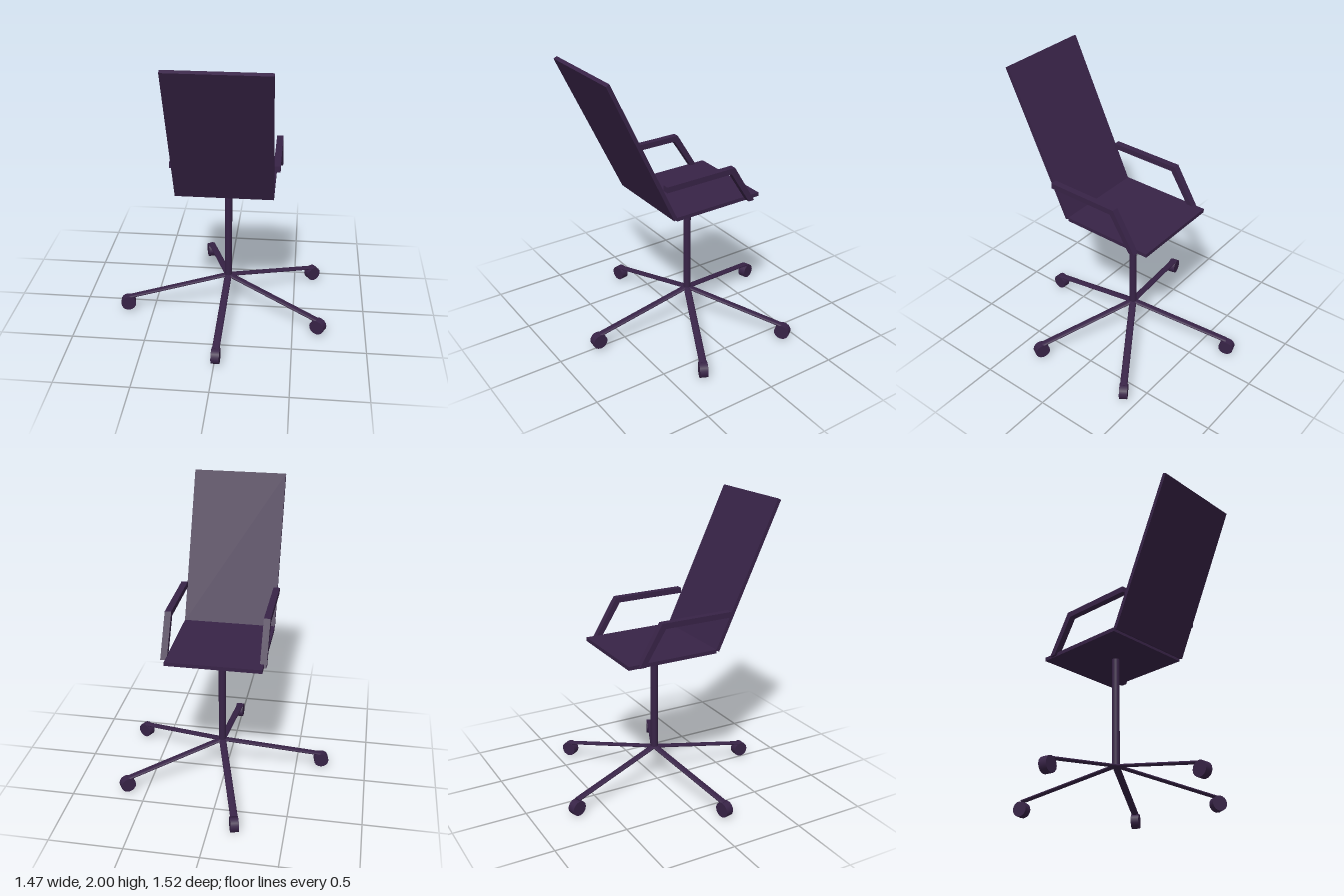
import * as THREE from 'three';

export function createModel() {
  const group = new THREE.Group();
  const material = new THREE.MeshStandardMaterial({ color: 0x382347 });
  const cx = 0.027, cz = -0.01; // column axis

  const add = (name, geometry, parent = group) => {
    const mesh = new THREE.Mesh(geometry, material);
    mesh.name = name;
    parent.add(mesh);
    return mesh;
  };

  // Side outline given as [z, y], extruded across x from x0 to x1
  const sideProfile = (points, x0, x1) => {
    const shape = new THREE.Shape(points.map(([z, y]) => new THREE.Vector2(-z, y)));
    return new THREE.ExtrudeGeometry(shape, { depth: x1 - x0, bevelEnabled: false })
      .rotateY(Math.PI / 2)
      .translate(x0, 0, 0);
  };

  // Seat and reclined backrest
  add('seat', new THREE.BoxGeometry(0.645, 0.026, 0.655)).position.set(cx, 1.018, -0.041);
  add('backrest', sideProfile([[0.285, 1.024], [0.309, 1.013], [0.76, 1.988], [0.737, 2]], -0.295, 0.35));

  // Bent armrests
  const arm = [[0.385, 1.285], [-0.134, 1.285], [-0.3, 1.01], [-0.257, 1.01], [-0.108, 1.246], [0.385, 1.246]];
  add('leftArmrest', sideProfile(arm, 0.345, 0.389));
  add('rightArmrest', sideProfile(arm, -0.313, -0.269));

  // Central column
  add('column', new THREE.CylinderGeometry(0.026, 0.026, 0.765, 16)).position.set(cx, 0.6275, cz);

  // Five sloping flattened legs, each ending in a caster wheel
  const hubY = 0.25, reach = 0.715, drop = 0.142;
  const length = Math.hypot(reach, drop);
  for (const degrees of [-106, -33, 26, 91.3, 168.6]) {
    const spoke = new THREE.Group();
    spoke.name = 'spoke';
    spoke.position.set(cx, 0, cz);
    spoke.rotation.y = -THREE.MathUtils.degToRad(degrees);
    group.add(spoke);

    const legGeometry = new THREE.CylinderGeometry(0.025, 0.025, length, 12)
      .rotateZ(Math.PI / 2)
      .scale(1, 0.4, 1);
    const leg = add('leg', legGeometry, spoke);
    leg.position.set(reach / 2, hubY - drop / 2, 0);
    leg.rotation.z = -Math.atan2(drop, reach);

    const wheelY = degrees === -106 ? 0.052 : 0.064;
    const wheelGeometry = new THREE.CylinderGeometry(0.052, 0.052, 0.055, 16).rotateX(Math.PI / 2);
    add('casterWheel', wheelGeometry, spoke).position.set(0.72, wheelY, 0);
  }

  return group;
}
